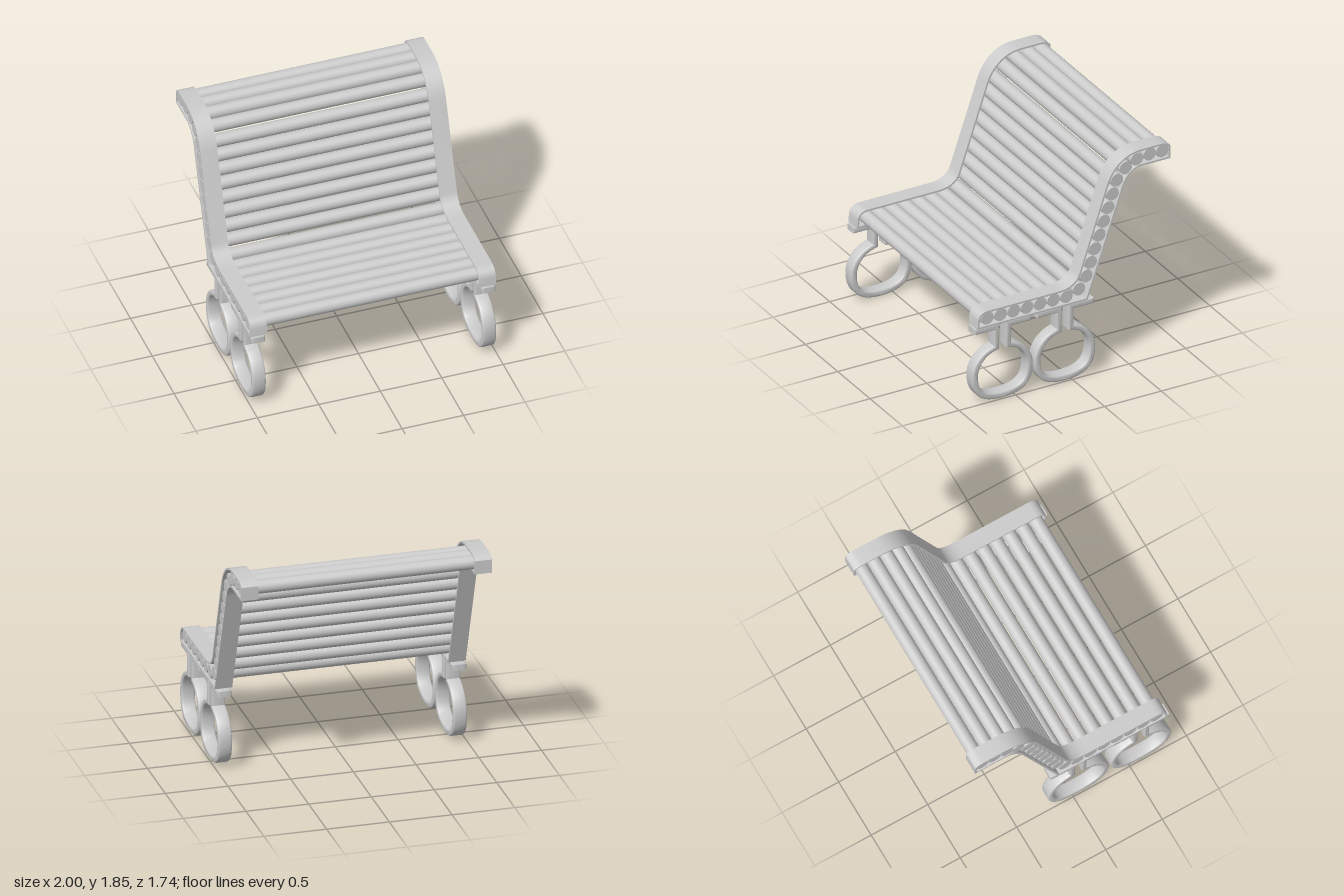
import * as THREE from 'three';
import { toCreasedNormals } from 'three/addons/utils/BufferGeometryUtils.js';

const material = new THREE.MeshStandardMaterial({ color: 0xcccccc });

// Extrude a profile drawn in (z, y) across x, centred on x = 0
function extrudeAcross(shape, width, bevel = 0) {
  const geo = new THREE.ExtrudeGeometry(shape, {
    depth: width - 2 * bevel, curveSegments: 14,
    bevelEnabled: bevel > 0, bevelSize: bevel, bevelThickness: bevel, bevelOffset: -bevel, bevelSegments: 3,
  });
  geo.translate(0, 0, -(width - 2 * bevel) / 2);
  geo.rotateY(-Math.PI / 2);
  return toCreasedNormals(geo, 0.6);
}

// Inset a closed outline by t with mitred corners
function inset(points, t) {
  const n = points.length;
  const sign = THREE.ShapeUtils.area(points) > 0 ? 1 : -1;
  return points.map((p, i) => {
    const a = p.clone().sub(points[(i + n - 1) % n]).normalize();
    const b = points[(i + 1) % n].clone().sub(p).normalize();
    const na = new THREE.Vector2(-a.y, a.x), nb = new THREE.Vector2(-b.y, b.x);
    const m = na.clone().add(nb).normalize();
    return p.clone().addScaledVector(m, sign * t / m.dot(na));
  });
}

// Hollow side frame following the seat and back
function frameGeometry() {
  const s = new THREE.Shape();
  s.moveTo(0.836, 0.658);
  s.lineTo(0.83, 0.735);
  s.quadraticCurveTo(0.815, 0.8, 0.74, 0.8);
  s.lineTo(0.13, 0.8);
  s.bezierCurveTo(0.04, 0.8, -0.03, 0.825, -0.06, 0.9);
  s.lineTo(-0.308, 1.62);
  s.bezierCurveTo(-0.36, 1.76, -0.47, 1.845, -0.61, 1.845);
  s.lineTo(-0.79, 1.845);
  s.quadraticCurveTo(-0.845, 1.84, -0.868, 1.81);
  s.lineTo(-0.868, 1.7);
  s.lineTo(-0.625, 1.7);
  s.bezierCurveTo(-0.54, 1.7, -0.48, 1.64, -0.455, 1.565);
  s.lineTo(-0.135, 0.658);
  const outer = s.getPoints(14);
  if (outer[0].distanceTo(outer[outer.length - 1]) < 1e-5) outer.pop();
  const ring = new THREE.Shape(outer);
  ring.holes.push(new THREE.Path(inset(outer, 0.015)));
  return extrudeAcross(ring, 0.138);
}

// Strap foot: flanges, twin necks and a rounded open loop, as one outline
function footGeometry() {
  const s = new THREE.Shape();
  s.moveTo(0.03, 0.658);
  s.lineTo(0.03, 0.432);
  s.bezierCurveTo(0.15, 0.415, 0.217, 0.33, 0.217, 0.23);
  s.bezierCurveTo(0.217, 0.1, 0.15, 0.052, 0, 0.052);
  s.bezierCurveTo(-0.15, 0.052, -0.217, 0.1, -0.217, 0.23);
  s.bezierCurveTo(-0.217, 0.33, -0.15, 0.415, -0.03, 0.432);
  s.lineTo(-0.03, 0.658);
  s.lineTo(-0.25, 0.658);
  s.lineTo(-0.25, 0.607);
  s.lineTo(-0.075, 0.607);
  s.lineTo(-0.075, 0.467);
  s.bezierCurveTo(-0.19, 0.435, -0.267, 0.35, -0.267, 0.23);
  s.bezierCurveTo(-0.267, 0.06, -0.17, 0, 0, 0);
  s.bezierCurveTo(0.17, 0, 0.267, 0.06, 0.267, 0.23);
  s.bezierCurveTo(0.267, 0.35, 0.19, 0.435, 0.075, 0.467);
  s.lineTo(0.075, 0.607);
  s.lineTo(0.25, 0.607);
  s.lineTo(0.25, 0.658);
  return extrudeAcross(s, 0.11, 0.014);
}

export function createModel() {
  const model = new THREE.Group();
  model.name = 'bench';
  const add = (geometry, name, x, y, z) => {
    const mesh = new THREE.Mesh(geometry, material);
    mesh.name = name;
    mesh.position.set(x, y, z);
    model.add(mesh);
  };

  // Side frames, each on two strap feet
  const frame = frameGeometry();
  const foot = footGeometry();
  for (const [side, name] of [[1, 'left'], [-1, 'right']]) {
    add(frame, name + 'Frame', side * 0.931, 0, 0);
    add(foot, name + 'FrontFoot', side * 0.937, 0, 0.606);
    add(foot, name + 'RearFoot', side * 0.937, 0, 0.054);
  }

  // Round slats: seat row, straight back, then the rolled top
  const centres = [];
  for (let i = 0; i < 7; i++) centres.push([0.743 - i * 0.1165, 0.73]);
  centres.push([-0.066, 0.765]);
  for (let i = 0; i < 8; i++) centres.push([-0.131 - i * 0.0385, 0.863 + i * 0.109]);
  centres.push([-0.478, 1.713], [-0.577, 1.763], [-0.689, 1.777], [-0.8, 1.775]);
  const slat = new THREE.CylinderGeometry(0.054, 0.054, 1.98, 32);
  slat.rotateZ(Math.PI / 2);
  centres.forEach(([z, y], i) => add(slat, (i < 8 ? 'seatSlat' : 'backSlat') + (i + 1), 0, y, z));

  return model;
}
